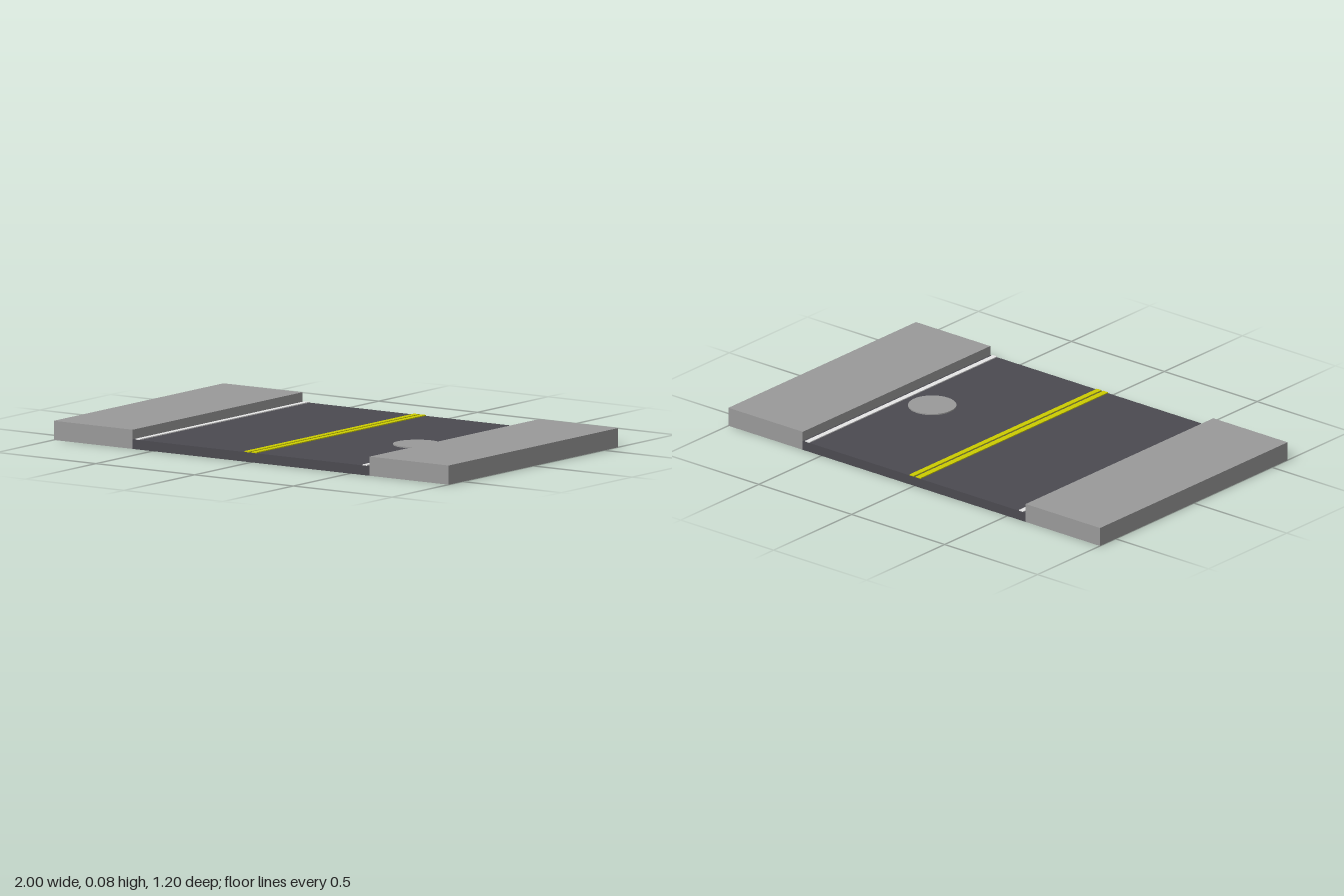
import * as THREE from 'three';

const material = (name, color) => {
  const m = new THREE.MeshStandardMaterial({ color });
  m.name = name;
  return m;
};

export function createModel() {
  const concrete = material('concrete grey', 0x999999);
  const asphalt = material('asphalt', 0x4b4a50);
  const white = material('edge line white', 0xe6e6e6);
  const yellow = material('centre line yellow', 0xcccc00);

  const model = new THREE.Group();
  model.name = 'roadSection';
  const length = 1.2, roadTop = 0.04;

  // Box standing on the given base height
  const slab = (name, mat, width, height, x, base) => {
    const mesh = new THREE.Mesh(new THREE.BoxGeometry(width, height, length), mat);
    mesh.name = name;
    mesh.position.set(x, base + height / 2, 0);
    model.add(mesh);
  };

  // Asphalt road with a concrete underside
  slab('road', [asphalt, asphalt, asphalt, concrete, asphalt, asphalt], 1.2, roadTop, 0, 0);

  // Raised pavements and white edge lines
  for (const [side, s] of [['left', 1], ['right', -1]]) {
    slab(side + 'Pavement', concrete, 0.4, 0.08, s * 0.8, 0);
    slab(side + 'EdgeLine', white, 0.023, 0.004, s * 0.575, roadTop);
  }

  // Double centre line
  slab('leftCentreLine', yellow, 0.024, 0.004, 0.014, roadTop);
  slab('rightCentreLine', yellow, 0.026, 0.004, -0.021, roadTop);

  // Manhole cover
  const cover = new THREE.Mesh(new THREE.CylinderGeometry(0.1, 0.1, 0.005, 32), concrete);
  cover.name = 'manholeCover';
  cover.position.set(0.433, roadTop + 0.0025, 0.03);
  model.add(cover);

  return model;
}
